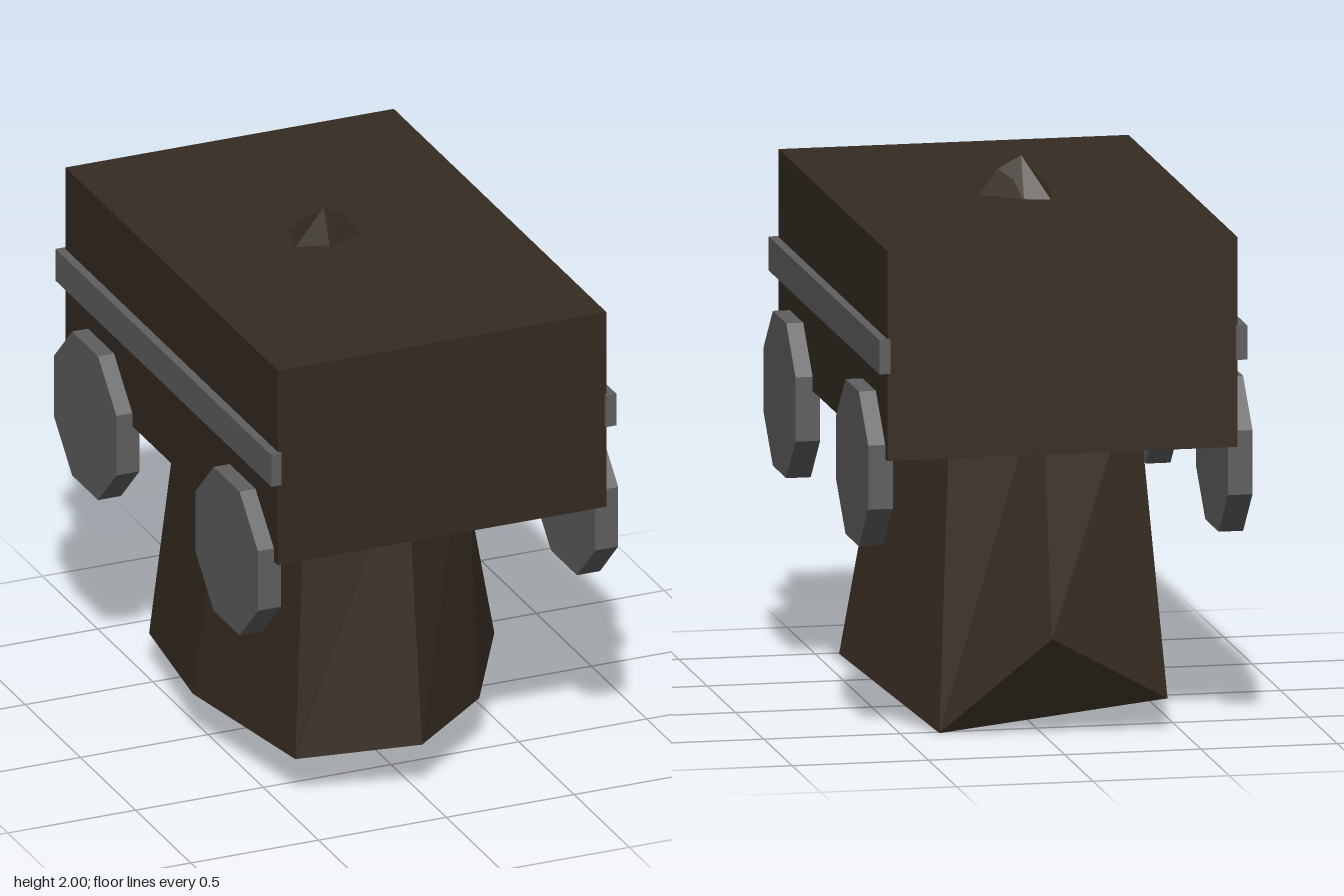
import * as THREE from 'three';

// Faceted solid between two rings of [x, y, z] points, counter-clockwise from above;
// both caps fan out from the first point. Neighbours may share a point in the high ring.
function loft(low, high) {
  const pos = [];
  const tri = (a, b, c) => {
    if (a !== b && b !== c && c !== a) pos.push(...a, ...b, ...c);
  };
  const n = low.length;
  for (let i = 0; i < n; i++) {
    const j = (i + 1) % n;
    tri(low[i], low[j], high[j]);
    tri(low[i], high[j], high[i]);
    tri(low[0], low[j], low[i]);
    tri(high[0], high[i], high[j]);
  }
  const geo = new THREE.BufferGeometry();
  geo.setAttribute('position', new THREE.Float32BufferAttribute(pos, 3));
  geo.computeVertexNormals();
  return geo;
}

export function createModel() {
  const model = new THREE.Group();
  model.name = 'model';
  const brown = new THREE.MeshStandardMaterial({ name: 'dark brown', color: 0x352b21, flatShading: true });
  const grey = new THREE.MeshStandardMaterial({ name: 'metal grey', color: 0x5f5f5f, flatShading: true });

  const add = (name, geo, mat, x = 0, y = 0, z = 0) => {
    const mesh = new THREE.Mesh(geo, mat);
    mesh.name = name;
    mesh.position.set(x, y, z);
    model.add(mesh);
  };

  // Main block
  add('block', new THREE.BoxGeometry(1.285, 0.768, 1.925), brown, 0, 1.478, 0);

  // Rough eight-sided stump below, starting at its lowest corner
  const foot = [
    [0.36, 0, -0.52], [0, 0.38, -0.778], [-0.45, 0.12, -0.65], [-0.56, 0.172, 0],
    [-0.44, 0.163, 0.65], [0, 0.195, 0.78], [0.345, 0.2, 0.5], [0.62, 0.2, 0],
  ];
  const neck = [
    [0.30, 1.3, -0.435], [0, 1.3, -0.59], [-0.36, 1.3, -0.52], [-0.40, 1.3, 0],
    [-0.355, 1.3, 0.55], [0, 1.3, 0.64], [0.315, 1.3, 0.445], [0.42, 1.3, 0],
  ];
  add('stump', loft(foot, neck), brown);

  // Small jagged tip poking through the top of the block
  const peak = [-0.048, 2, 0], shoulder = [0.04, 1.955, -0.01], notch = [-0.005, 1.925, -0.072];
  const y = 1.855;
  add('tip', loft(
    [[-0.04, y, 0.037], [0.04, y, 0.012], [0.113, y, -0.005], [-0.033, y, -0.127], [-0.13, y, -0.158], [-0.163, y, 0]],
    [peak, shoulder, shoulder, notch, peak, peak],
  ), brown);

  // Side rails and octagonal wheels
  const wheel = new THREE.CylinderGeometry(0.307, 0.307, 0.09, 8, 1, false, Math.PI / 8);
  wheel.rotateZ(Math.PI / 2);
  const rail = new THREE.BoxGeometry(0.04, 0.125, 1.955);
  for (const [side, s] of [['left', 1], ['right', -1]]) {
    add(side + 'Rail', rail, grey, s * 0.655, 1.478, 0);
    add(side + 'FrontWheel', wheel, grey, s * 0.66, 1.028, 0.642);
    add(side + 'BackWheel', wheel, grey, s * 0.66, 1.028, -0.64);
  }
  return model;
}
